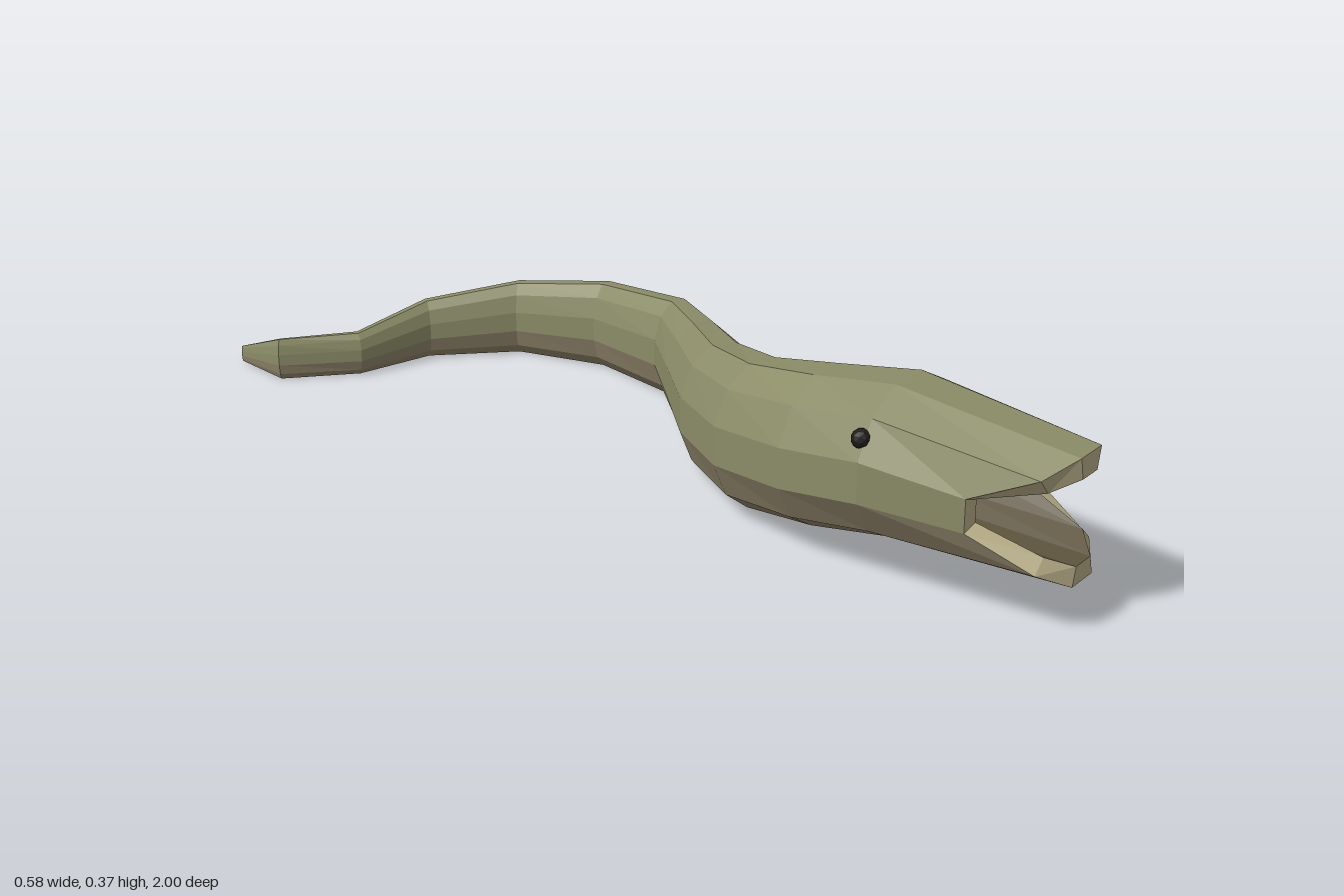
import * as THREE from 'three';

const SIDES = 12;
const angle = j => (j + 0.5) * Math.PI * 2 / SIDES;

// Ring of points; w and h are half extents, (tx, tz) the path direction, zs an optional z per point
function ring(x, y, z, w, h, tx = 0, tz = -1, zs = () => z) {
  const len = Math.hypot(tx, tz), pts = [];
  for (let j = 0; j < SIDES; j++) {
    const a = angle(j), s = Math.cos(a) * w / 0.966;
    pts.push(new THREE.Vector3(x - tz / len * s, y + Math.sin(a) * h / 0.966, zs(a) + tx / len * s));
  }
  return pts;
}

// Skin between successive rings, for a run of side faces
function skin(name, rings, color, first = 0, count = SIDES) {
  const pts = [];
  for (let i = 0; i < rings.length - 1; i++) {
    for (let k = first; k < first + count; k++) {
      const j = k % SIDES, n = (k + 1) % SIDES;
      const a = rings[i][j], b = rings[i][n], c = rings[i + 1][j], d = rings[i + 1][n];
      pts.push(a, c, b, b, c, d);
    }
  }
  const geo = new THREE.BufferGeometry().setFromPoints(pts);
  geo.computeVertexNormals();
  const mesh = new THREE.Mesh(geo, new THREE.MeshStandardMaterial({ color, flatShading: true }));
  mesh.name = name;
  return mesh;
}

export function createModel() {
  const group = new THREE.Group();
  group.name = 'eel';

  // Body stations from head to tail: x, z, half width, bottom, top
  const stations = [
    [-0.141, 0.64, 0.154, 0.073, 0.367],
    [-0.143, 0.47, 0.134, 0.04, 0.338],
    [-0.12, 0.31, 0.106, 0.012, 0.305],
    [-0.037, 0.16, 0.088, 0, 0.273],
    [0.09, 0.01, 0.074, 0, 0.24],
    [0.212, -0.148, 0.057, 0, 0.211],
    [0.245, -0.372, 0.045, 0, 0.187],
    [0.185, -0.57, 0.036, 0, 0.16],
    [0.04, -0.71, 0.029, 0, 0.128],
    [-0.125, -0.755, 0.021, 0, 0.093],
    [-0.25, -0.863, 0.011, 0, 0.09],
    [-0.237, -1, 0.003, 0, 0.035],
  ];
  const body = stations.map(([x, z, w, lo, hi], i) => {
    const p = stations[Math.max(i - 1, 0)], q = stations[Math.min(i + 1, stations.length - 1)];
    const straight = i === 0 || i === stations.length - 1;
    return ring(x, (lo + hi) / 2, z, w, (hi - lo) / 2, straight ? 0 : q[0] - p[0], straight ? -1 : q[1] - p[1]);
  });
  body.push(ring(-0.237, 0.0175, -1, 0, 0));

  // Gape: the lips reach forward above and below, the corners sit back
  const gape = a => {
    const s = Math.abs(Math.sin(a));
    return s > 0.9 ? 1 : s > 0.5 ? 0.96 : 0.84;
  };
  const outer = ring(-0.141, 0.209, 1, 0.127, 0.12, 0, -1, gape);
  const inner = ring(-0.141, 0.206, 1, 0.091, 0.081, 0, -1, gape);

  const hide = [outer, ...body];
  group.add(skin('back', hide, 0x8b8c68, 11, 7));
  group.add(skin('belly', hide, 0x8c8168, 6, 5));
  group.add(skin('lips', [inner, outer], 0xb5ab86));

  // Throat narrowing to a small closed end
  const throat = [[0.5, 0], [0.5, 0.017], [0.58, 0.05], [0.7, 0.078]]
    .map(([z, r]) => ring(-0.141, 0.206, z, r, r));
  group.add(skin('throat', [...throat, inner], 0x5e553f));

  // Eyes
  for (const side of [-1, 1]) {
    const eye = new THREE.Mesh(new THREE.IcosahedronGeometry(0.019, 1),
      new THREE.MeshStandardMaterial({ color: 0x1c1c1a, flatShading: true }));
    eye.name = side > 0 ? 'leftEye' : 'rightEye';
    eye.position.set(-0.141 + side * 0.128, 0.293, 0.63);
    group.add(eye);
  }
  return group;
}
